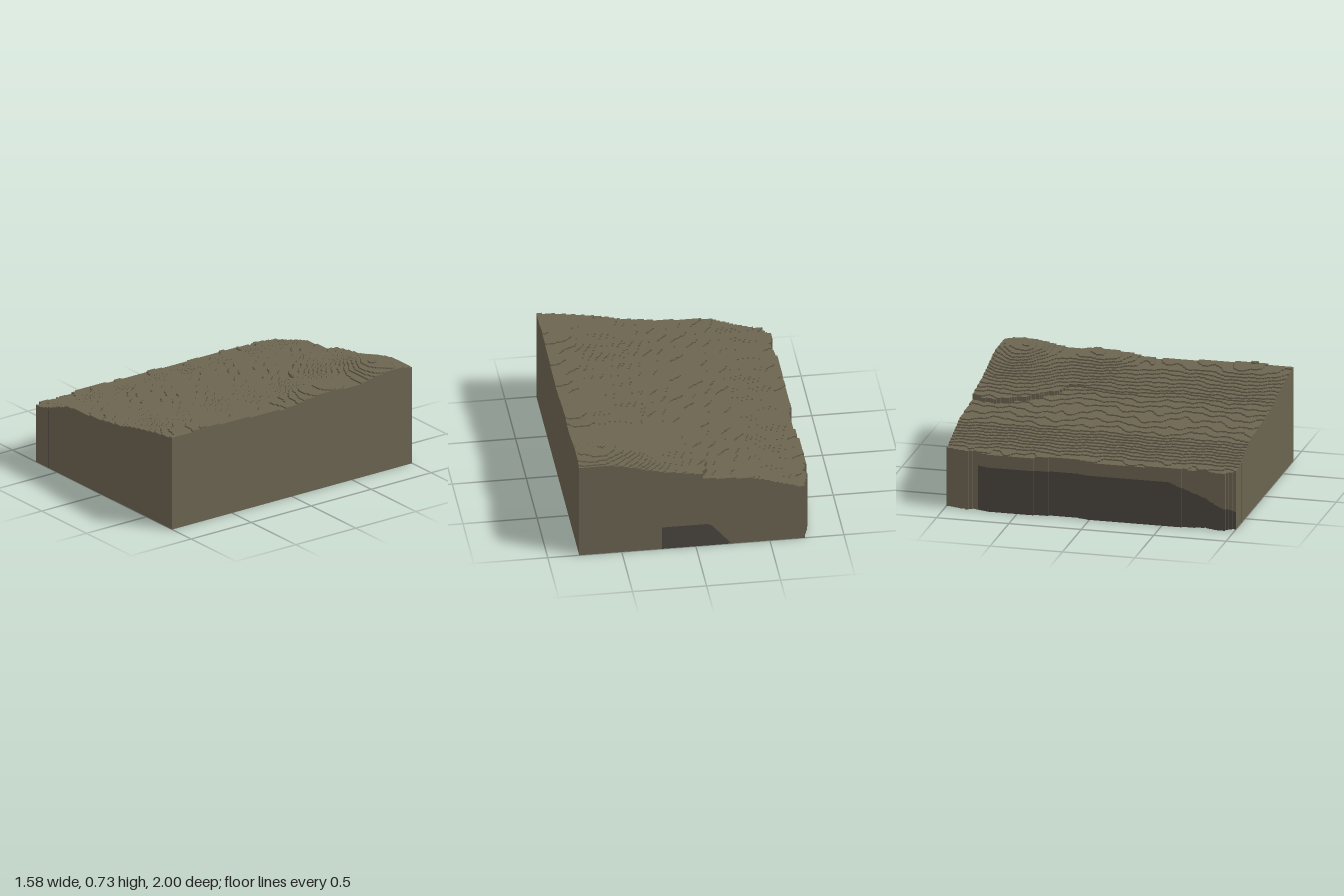
import * as THREE from 'three';

const CELL = 0.0125, NX = 126, NZ = 160, X0 = -0.7875, Z0 = -1, STEP = 0.01;

// Piecewise linear curve through [position, value] pairs
function curve(points, t) {
  if (t <= points[0][0]) return points[0][1];
  for (let i = 1; i < points.length; i++) {
    const [a, va] = points[i - 1], [b, vb] = points[i];
    if (t <= b) return va + (vb - va) * (t - a) / (b - a);
  }
  return points[points.length - 1][1];
}

const slope = [[-0.79, 0.405], [-0.7, 0.41], [-0.6, 0.435], [-0.4, 0.5], [-0.2, 0.52],
  [0, 0.535], [0.2, 0.56], [0.4, 0.6], [0.6, 0.632], [0.79, 0.642]];
// x of the low cliff, by z
const cliff = [[-1, -0.05], [-0.9, -0.08], [-0.8, -0.09], [-0.7, -0.04], [-0.62, 0],
  [-0.53, 0.08], [-0.45, 0.15], [-0.4, 0.27], [-0.3, 0.27], [-0.1, 0.22], [0.05, 0.23],
  [0.2, 0.27], [0.4, 0.3], [0.65, 0.24], [0.8, 0.27], [1, 0.26]];
const cliffHeight = [[-1, 0.033], [-0.6, 0.033], [-0.4, 0.015], [-0.2, 0.006], [1, 0.006]];
// x of the ragged shore wall, by z
const shore = [[-1, -0.74], [-0.96, -0.742], [-0.9, -0.762], [-0.85, -0.772], [-0.8, -0.75],
  [-0.7, -0.787], [-0.42, -0.785], [-0.25, -0.765], [-0.1, -0.762], [0, -0.787], [0.6, -0.787],
  [0.72, -0.77], [0.8, -0.755], [0.87, -0.787], [0.93, -0.787], [0.95, -0.75], [1, -0.74]];
// top of the dark stain along the shore wall, by z
const stainTop = [[-0.78, 0], [-0.77, 0.31], [0.55, 0.31], [1, 0.12]];

const hill = (x, z, cx, cz, sx, sz, h) =>
  h * Math.exp(-(((x - cx) / sx) ** 2 + ((z - cz) / sz) ** 2) / 2);

function heightAt(x, z) {
  let h = curve(slope, x);
  h += 0.004 * Math.sin(9 * z + 4 * x) + 0.0025 * Math.sin(23 * z - 11 * x) + 0.0015 * Math.sin(51 * z + 17 * x);
  h += hill(x, z, 0.55, -0.83, 0.28, 0.15, 0.07);
  h += hill(x, z, 0.66, -0.3, 0.16, 0.14, 0.045);
  h += hill(x, z, 0.72, 0.75, 0.2, 0.16, 0.03);
  h += hill(x, z, 0.72, 0.3, 0.15, 0.12, 0.012);
  const edge = curve(cliff, z) + 0.008 * Math.sin(70 * z);
  if (x > edge) h += curve(cliffHeight, z) * (1 - 0.5 * (x - edge));
  return Math.round(h / STEP) * STEP;
}

// Quad with corners counter-clockwise from its front
function quad(list, a, b, c, d) {
  list.push(...a, ...b, ...c, ...a, ...c, ...d);
}

// Upright quad; its front is on the right-hand side going p to q with y up
function upright(list, p, q, low, high) {
  if (high - low < 1e-6) return;
  quad(list, [p[0], low, p[1]], [q[0], low, q[1]], [q[0], high, q[1]], [p[0], high, p[1]]);
}

export function createModel() {
  const group = new THREE.Group();
  const earth = new THREE.MeshStandardMaterial({ color: 0x6b6450 });
  earth.name = 'earth';
  const damp = new THREE.MeshStandardMaterial({ color: 0x4b4640 });
  damp.name = 'damp earth';

  // Stepped heights, zero outside the block
  const starts = [], heights = [];
  for (let j = 0; j < NZ; j++) {
    const z = Z0 + (j + 0.5) * CELL;
    starts.push(Math.max(0, Math.round((curve(shore, z) - X0) / CELL)));
    const row = [];
    for (let i = 0; i < NX; i++) {
      row.push(i < starts[j] ? 0 : heightAt(X0 + (i + 0.5) * CELL, z));
    }
    heights.push(row);
  }
  const at = (i, j) => (i < 0 || j < 0 || i >= NX || j >= NZ ? 0 : heights[j][i]);

  const terraces = [], walls = [], shoreStain = [], underside = [];
  for (let j = 0; j < NZ; j++) {
    const z = Z0 + j * CELL, z2 = z + CELL;
    const s = X0 + starts[j] * CELL, e = X0 + NX * CELL;
    quad(underside, [s, 0, z], [e, 0, z], [e, 0, z2], [s, 0, z2]);
    for (let i = starts[j]; i < NX; i++) {
      const x = X0 + i * CELL, x2 = x + CELL, h = heights[j][i];
      quad(terraces, [x, h, z2], [x2, h, z2], [x2, h, z], [x, h, z]);
      const sides = [
        [i - 1, j, [x, z], [x, z2]], [i + 1, j, [x2, z2], [x2, z]],
        [i, j + 1, [x, z2], [x2, z2]], [i, j - 1, [x2, z], [x, z]],
      ];
      for (const [ni, nj, p, q] of sides) {
        const low = at(ni, nj);
        if (low >= h) continue;
        if (low > 0) {
          upright(terraces, p, q, low, h);
          continue;
        }
        const onShore = ni < starts[j] || (nj >= 0 && nj < NZ && ni < starts[nj]);
        const split = onShore ? Math.min(h, curve(stainTop, z + CELL / 2)) : 0;
        upright(shoreStain, p, q, 0, split);
        upright(walls, p, q, split, h);
      }
    }
  }

  const add = (name, positions, material) => {
    const geometry = new THREE.BufferGeometry();
    geometry.setAttribute('position', new THREE.Float32BufferAttribute(positions, 3));
    geometry.computeVertexNormals();
    const mesh = new THREE.Mesh(geometry, material);
    mesh.name = name;
    group.add(mesh);
  };
  add('terraces', terraces, earth);
  add('walls', walls, earth);
  add('shoreStain', shoreStain, damp);
  add('underside', underside, earth);

  // Dark patch on the back wall
  const patch = new THREE.Shape([[-0.23, 0.001], [0.24, 0.001], [0.11, 0.155], [0.08, 0.17], [-0.23, 0.17]]
    .map(([x, y]) => new THREE.Vector2(x, y)));
  const backStain = new THREE.Mesh(new THREE.ShapeGeometry(patch), damp);
  backStain.name = 'backStain';
  backStain.rotation.y = Math.PI;
  backStain.position.z = -1.002;
  group.add(backStain);

  // Narrow seam on the front wall
  const seam = new THREE.Mesh(new THREE.BoxGeometry(0.006, 0.42, 0.002), damp);
  seam.name = 'frontSeam';
  seam.position.set(-0.595, 0.21, 1.001);
  group.add(seam);
  return group;
}
